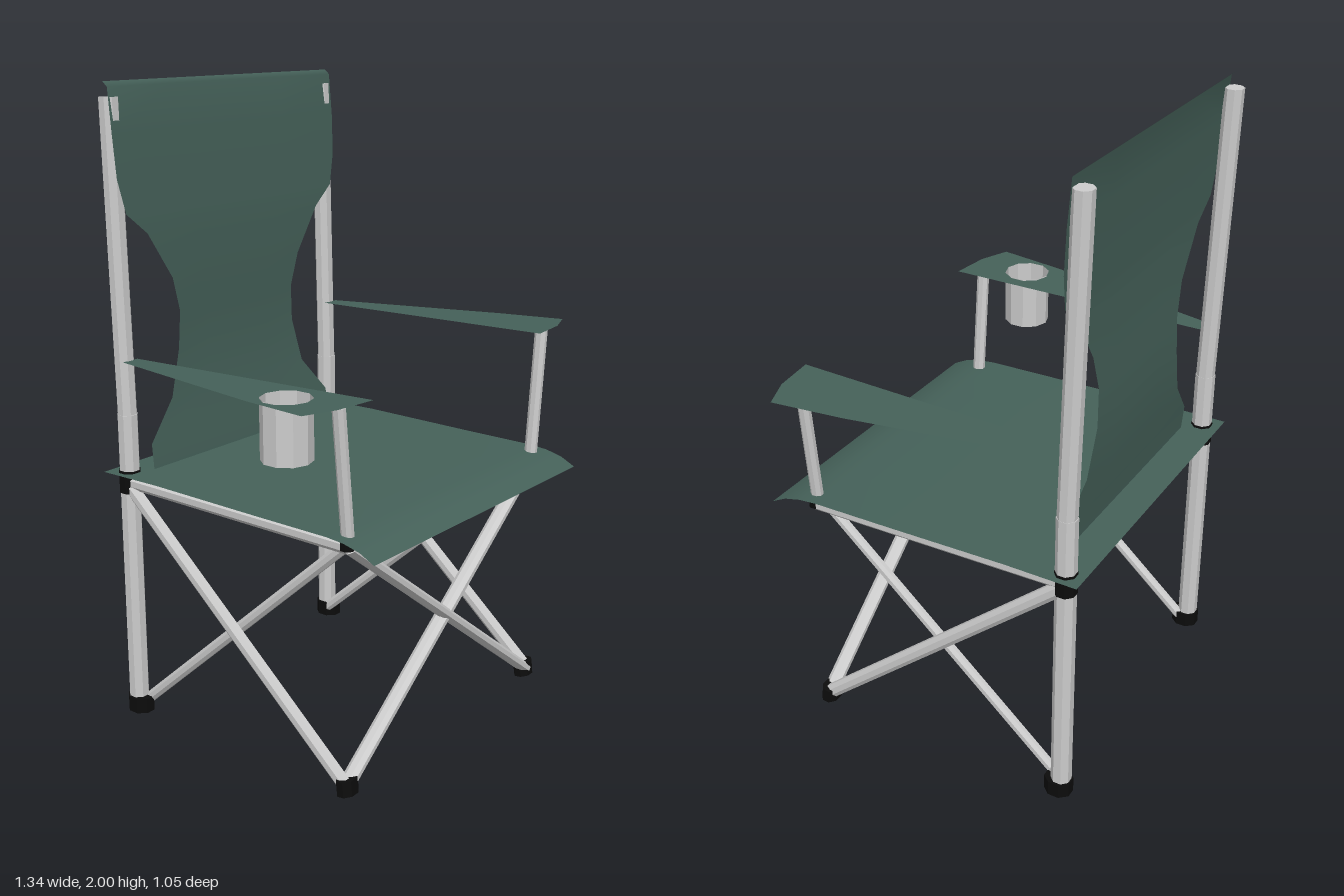
import * as THREE from 'three';

const grey = new THREE.MeshStandardMaterial({ color: 0xcccccc, flatShading: true });
const cupGrey = new THREE.MeshStandardMaterial({ color: 0xcccccc, flatShading: true, side: THREE.DoubleSide });
const black = new THREE.MeshStandardMaterial({ color: 0x0c0c0c, flatShading: true });
const fabric = new THREE.MeshStandardMaterial({ color: 0x456159, side: THREE.DoubleSide });

// Eight-sided bar from a to b; w is its horizontal thickness, h the other one
function bar(name, a, b, w, h, material = grey) {
  const from = new THREE.Vector3(...a), to = new THREE.Vector3(...b);
  const r = 0.5 / Math.cos(Math.PI / 8);
  const geometry = new THREE.CylinderGeometry(r, r, 1, 8);
  geometry.rotateY(Math.PI / 8).rotateX(Math.PI / 2).scale(w, h, from.distanceTo(to));
  const mesh = new THREE.Mesh(geometry, material);
  mesh.name = name;
  const steep = Math.abs(to.y - from.y) > 0.9 * from.distanceTo(to);
  if (steep) mesh.up.set(0, 0, 1);
  mesh.position.copy(from).add(to).multiplyScalar(0.5);
  mesh.lookAt(to);
  return mesh;
}

// Cloth strip, symmetric in x, from rows of [half width, y, z]
function cloth(name, rows) {
  const columns = 4, points = [], index = [];
  rows.forEach(([half, y, z], i) => {
    for (let j = 0; j <= columns; j++) {
      points.push(half * (2 * j / columns - 1), y, z);
      if (i && j) {
        const d = i * (columns + 1) + j, b = d - columns - 1;
        index.push(b - 1, b, d - 1, b, d, d - 1);
      }
    }
  });
  const geometry = new THREE.BufferGeometry();
  geometry.setAttribute('position', new THREE.Float32BufferAttribute(points, 3));
  geometry.setIndex(index);
  geometry.computeVertexNormals();
  const mesh = new THREE.Mesh(geometry, fabric);
  mesh.name = name;
  return mesh;
}

// Flat armrest, drawn in x and z, rising a little to the front
function armrest(side, y) {
  const outline = [[0.455, -0.45], [0.515, -0.45], [0.64, 0.16], [0.672, 0.385], [0.57, 0.425], [0.435, 0.44]];
  const shape = new THREE.Shape(outline.map(([x, z]) => new THREE.Vector2(side * x, -z)));
  if (side < 0) {
    const hole = new THREE.Path();
    const ring = [];
    for (let i = 0; i < 10; i++) {
      const t = i / 10 * Math.PI * 2;
      ring.push(new THREE.Vector2(-0.555 + 0.075 * Math.sin(t), -0.235 - 0.075 * Math.cos(t)));
    }
    hole.setFromPoints(ring);
    shape.holes.push(hole);
  }
  const geometry = new THREE.ShapeGeometry(shape);
  geometry.rotateX(-Math.PI / 2);
  const p = geometry.attributes.position;
  for (let i = 0; i < p.count; i++) p.setY(i, y + 0.02 * p.getZ(i));
  geometry.computeVertexNormals();
  const mesh = new THREE.Mesh(geometry, fabric);
  mesh.name = side > 0 ? 'leftArmrest' : 'rightArmrest';
  return mesh;
}

export function createModel() {
  const chair = new THREE.Group();
  chair.name = 'foldingChair';

  for (const s of [-1, 1]) {
    const x = s * 0.487;
    const armY = s > 0 ? 1.207 : 1.18;
    const frame = new THREE.Group();
    frame.name = s > 0 ? 'leftFrame' : 'rightFrame';
    frame.add(
      // back post with its collar and foot
      bar('backPost', [x, 0.02, -0.47], [x, 1.0, -0.47], 0.06, 0.06),
      bar('backPostUpper', [x, 1.0, -0.47], [x, 1.955, -0.493], 0.058, 0.056),
      bar('collar', [x, 0.748, -0.47], [x, 0.82, -0.47], 0.066, 0.064, black),
      bar('backFoot', [x, 0, -0.462], [x, 0.05, -0.462], 0.075, 0.085, black),
      // crossed side braces and seat rail
      bar('sideBrace', [s * 0.495, 0.03, 0.395], [s * 0.495, 0.765, -0.46], 0.035, 0.045),
      bar('sideBrace', [s * 0.465, 0.785, 0.395], [s * 0.465, 0.03, -0.45], 0.03, 0.034),
      bar('seatRail', [x, 0.775, 0.4], [x, 0.782, -0.46], 0.045, 0.046),
      // front foot, joint and armrest support
      bar('frontFoot', [x, 0.008, 0.395], [x, 0.055, 0.39], 0.072, 0.055, black),
      bar('frontJoint', [x, 0.765, 0.395], [x, 0.802, 0.395], 0.05, 0.045, black),
      bar('armSupport', [s * 0.485, 0.79, 0.392], [s * 0.525, armY, 0.392], 0.03, 0.04),
      armrest(s, armY)
    );
    chair.add(frame);
    // one half of the front cross
    chair.add(bar('frontBrace', [x, 0.03, 0.393 + s * 0.004], [-x, 0.77, 0.393 + s * 0.004], 0.048, 0.034));
  }

  // seat, drooping at its front edge
  chair.add(cloth('seat', [
    [0.54, 0.812, -0.53], [0.54, 0.815, -0.3], [0.54, 0.81, 0.1], [0.54, 0.808, 0.36],
    [0.54, 0.803, 0.42], [0.54, 0.79, 0.475], [0.54, 0.765, 0.525],
  ]));

  // waisted backrest
  chair.add(cloth('backrest', [
    [0.51, 2.0, -0.49], [0.51, 1.985, -0.472], [0.51, 1.85, -0.46], [0.505, 1.72, -0.452],
    [0.48, 1.615, -0.445], [0.4, 1.55, -0.442], [0.3, 1.4, -0.442], [0.268, 1.29, -0.447],
    [0.275, 1.17, -0.45], [0.318, 1.02, -0.443], [0.43, 0.895, -0.427], [0.43, 0.815, -0.42],
  ]));

  // cup holder hanging in the right armrest
  const cup = new THREE.Group();
  cup.name = 'cupHolder';
  const wall = new THREE.Mesh(new THREE.CylinderGeometry(0.075, 0.075, 0.178, 10, 1, true), cupGrey);
  wall.name = 'cupWall';
  const base = new THREE.Mesh(new THREE.CylinderGeometry(0.075, 0.075, 0.004, 10), cupGrey);
  base.name = 'cupBase';
  base.position.y = -0.087;
  cup.add(wall, base);
  cup.position.set(-0.555, 1.098, 0.235);
  chair.add(cup);

  return chair;
}
